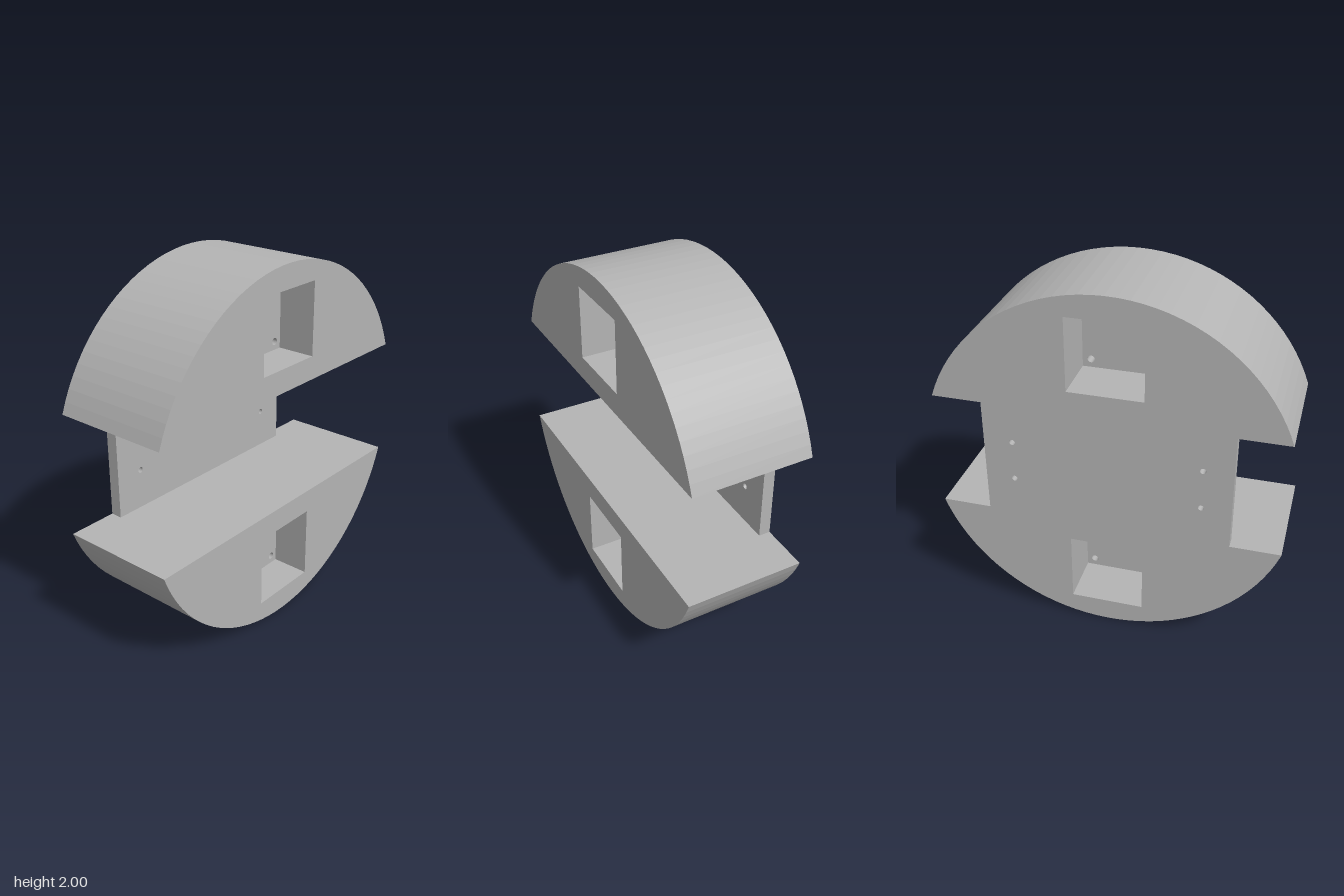
import * as THREE from 'three';

const R = 1, SLOT = 1 / 3;          // disc radius, half height of the cross slot
const BACK = -0.325, FRONT = 0.325; // overall depth
const POCKET_Y = 0.667, POCKET = 0.203;

// Closed rectangle, usable as a shape or as a hole
function rectangle(path, cx, cy, hw, hh) {
  path.moveTo(cx - hw, cy - hh);
  path.lineTo(cx + hw, cy - hh);
  path.lineTo(cx + hw, cy + hh);
  path.lineTo(cx - hw, cy + hh);
  path.closePath();
  return path;
}

// Round screw holes mirrored about (0, cy)
function drill(shape, dx, cy, dy, r) {
  for (const sx of [-1, 1]) for (const sy of [-1, 1]) {
    shape.holes.push(new THREE.Path().absarc(sx * dx, cy + sy * dy, r, 0, Math.PI * 2, true));
  }
}

function slab(name, shape, z0, z1, curveSegments, material) {
  const geometry = new THREE.ExtrudeGeometry(shape, { depth: z1 - z0, bevelEnabled: false, curveSegments });
  geometry.translate(0, 0, z0);
  const mesh = new THREE.Mesh(geometry, material);
  mesh.name = name;
  return mesh;
}

export function createModel() {
  const grey = new THREE.MeshStandardMaterial({ color: 0xb4b4b4 });
  grey.name = 'grey';
  const model = new THREE.Group();
  model.name = 'slottedDisc';

  // Two identical disc segments, the lower one turned half a revolution
  for (const [name, turn] of [['upperSegment', 0], ['lowerSegment', Math.PI]]) {
    const half = new THREE.Group();
    half.name = name;

    // Solid segment with a square opening
    const a = Math.asin(SLOT / R);
    const segment = new THREE.Shape();
    segment.absarc(0, 0, R, a, Math.PI - a, false);
    segment.closePath();
    segment.holes.push(rectangle(new THREE.Path(), 0, POCKET_Y, POCKET, POCKET));
    half.add(slab('segmentBody', segment, BACK, FRONT, 19, grey));

    // Drilled web dividing the opening into a front and a back pocket
    const web = rectangle(new THREE.Shape(), 0, POCKET_Y, POCKET, POCKET);
    drill(web, 0.157, POCKET_Y, 0.157, 0.02);
    half.add(slab('pocketWeb', web, -0.035, 0.11, 12, grey));

    half.rotation.z = turn;
    half.position.y = R;
    model.add(half);
  }

  // Thin plate joining the segments at the back
  const plate = rectangle(new THREE.Shape(), 0, 0, 0.67, SLOT);
  drill(plate, 0.51, 0, 0.114, 0.016);
  const bridge = slab('bridgePlate', plate, BACK, -0.26, 12, grey);
  bridge.position.y = R;
  model.add(bridge);

  return model;
}
